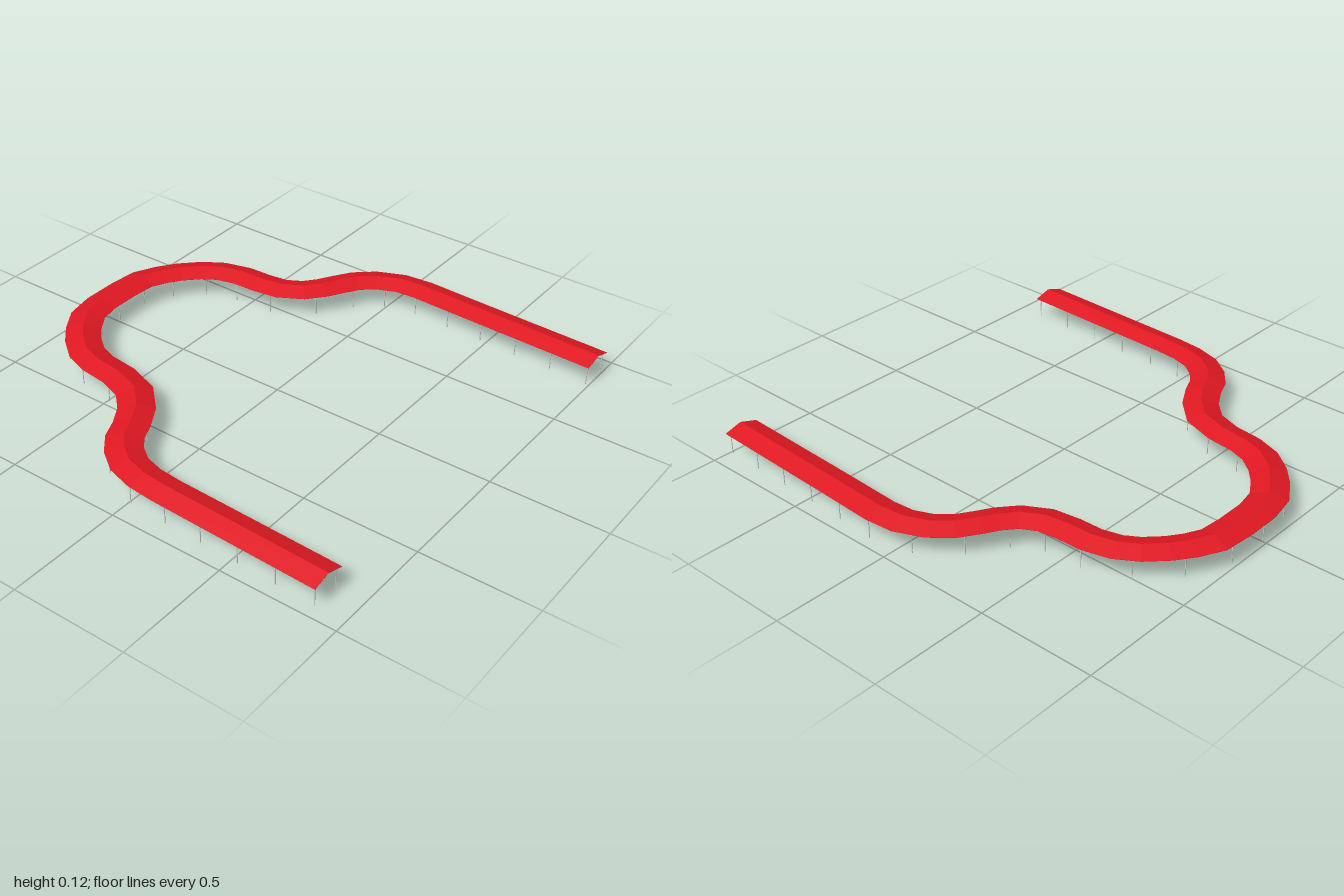
import * as THREE from 'three';

// Ridge line in plan, [x, z]
const PATH = [
  [1, -0.853], [0.41, -0.877], [0.13, -0.89], [0.02, -0.88], [-0.08, -0.837], [-0.15, -0.777], [-0.2, -0.7],
  [-0.235, -0.64], [-0.29, -0.575], [-0.375, -0.527], [-0.475, -0.513], [-0.58, -0.51], [-0.68, -0.484],
  [-0.755, -0.437], [-0.825, -0.367], [-0.873, -0.3], [-0.915, -0.217], [-0.925, -0.1], [-0.925, 0.04],
  [-0.904, 0.147], [-0.85, 0.232], [-0.79, 0.3], [-0.711, 0.361], [-0.62, 0.393], [-0.492, 0.409],
  [-0.37, 0.452], [-0.284, 0.537], [-0.23, 0.628], [-0.198, 0.703], [-0.145, 0.767], [-0.07, 0.82],
  [0.027, 0.848], [0.14, 0.858], [0.885, 0.885],
].map(([x, z]) => new THREE.Vector2(x, z));

const HALF = 0.075, EAVE = 0.092, RIDGE = 0.115;
const slopeY = (u) => RIDGE - (RIDGE - EAVE) * Math.abs(u) / HALF;
const sideOf = (t) => new THREE.Vector2(-t.y, t.x);

// Mitred sideways direction at every path point
const MITRES = PATH.map((p, i) => {
  const before = p.clone().sub(PATH[Math.max(i - 1, 0)]).normalize();
  const after = PATH[Math.min(i + 1, PATH.length - 1)].clone().sub(p).normalize();
  const n = sideOf(before.clone().add(after).normalize());
  const ref = sideOf(i ? before : after);
  return n.divideScalar(n.dot(ref));
});

// Sweeps a closed counter-clockwise section [u, y] along the path, with end caps
function sweep(section) {
  const out = [];
  const at = (i, k) => {
    const [u, y] = section[k % section.length];
    return [PATH[i].x + MITRES[i].x * u, y, PATH[i].y + MITRES[i].y * u];
  };
  const tri = (...corners) => corners.forEach((c) => out.push(...c));
  for (let i = 0; i < PATH.length - 1; i++) {
    for (let k = 0; k < section.length; k++) {
      tri(at(i, k), at(i + 1, k), at(i + 1, k + 1));
      tri(at(i, k), at(i + 1, k + 1), at(i, k + 1));
    }
  }
  const end = PATH.length - 1;
  for (const [a, b, c] of THREE.ShapeUtils.triangulateShape(section.map((s) => new THREE.Vector2(...s)), [])) {
    tri(at(0, a), at(0, b), at(0, c));
    tri(at(end, c), at(end, b), at(end, a));
  }
  const g = new THREE.BufferGeometry();
  g.setAttribute('position', new THREE.Float32BufferAttribute(out, 3));
  g.computeVertexNormals();
  return g;
}

// Pitched sheet between two depths below the roof surface
const pitched = (half, top, bottom) => [
  [-half, slopeY(half) - bottom], [0, RIDGE - bottom], [half, slopeY(half) - bottom],
  [half, slopeY(half) - top], [0, RIDGE - top], [-half, slopeY(half) - top],
];

// Evenly spaced stations along the path: point and sideways direction
function stations(count, margin) {
  const lengths = PATH.slice(1).map((p, i) => p.distanceTo(PATH[i]));
  const total = lengths.reduce((a, b) => a + b, 0);
  return Array.from({ length: count }, (_, n) => {
    let d = margin + (total - 2 * margin) * n / (count - 1), i = 0;
    while (i < lengths.length - 1 && d > lengths[i]) d -= lengths[i++];
    const f = d / lengths[i];
    const t = PATH[i + 1].clone().sub(PATH[i]).normalize();
    return { p: PATH[i].clone().lerp(PATH[i + 1], f), n: MITRES[i].clone().lerp(MITRES[i + 1], f), t };
  });
}

export function createModel() {
  const model = new THREE.Group();
  model.name = 'coveredWalkway';
  const red = new THREE.MeshStandardMaterial({ color: 0xe01822, flatShading: true });
  const grey = new THREE.MeshStandardMaterial({ color: 0xcccccc, flatShading: true });
  const add = (parent, name, geometry, material) => {
    const mesh = new THREE.Mesh(geometry, material);
    mesh.name = name;
    parent.add(mesh);
    return mesh;
  };
  const group = (name) => {
    const g = new THREE.Group();
    g.name = name;
    model.add(g);
    return g;
  };

  // Gabled roof and its lining
  add(model, 'roof', sweep(pitched(HALF, 0, 0.0015)), red);
  add(model, 'roofLining', sweep(pitched(HALF - 0.001, 0.0016, 0.0025)), grey);

  // Purlins running lengthwise under both slopes
  const purlins = group('purlins');
  for (const u of [-0.071, -0.048, -0.024, 0, 0.024, 0.048, 0.071]) {
    const y = slopeY(u) - 0.0025, w = 0.0012;
    add(purlins, 'purlin', sweep([[u - w, y - 0.002], [u + w, y - 0.002], [u + w, y], [u - w, y]]), grey);
  }

  // Rafters across each slope, with a pair of posts under every third one
  const rafters = group('rafters'), posts = group('posts');
  const postGeometry = new THREE.CylinderGeometry(0.002, 0.002, 1, 6);
  const rafterGeometry = new THREE.BoxGeometry(1, 0.002, 0.002);
  const up = new THREE.Vector3(0, 1, 0);
  stations(82, 0.012).forEach(({ p, n }, i) => {
    for (const side of [-1, 1]) {
      const place = (u, y) => new THREE.Vector3(p.x + n.x * u * side, y, p.y + n.y * u * side);
      const a = place(0, RIDGE - 0.004), b = place(HALF - 0.002, EAVE - 0.003);
      const along = b.clone().sub(a);
      const rafter = add(rafters, 'rafter', rafterGeometry, grey);
      rafter.position.copy(a).add(b).multiplyScalar(0.5);
      rafter.scale.x = along.length();
      const x = along.normalize(), z = x.clone().cross(up).normalize();
      rafter.quaternion.setFromRotationMatrix(new THREE.Matrix4().makeBasis(x, z.clone().cross(x), z));
      if (i % 3 === 0) {
        const height = slopeY(0.06) - 0.003;
        const post = add(posts, 'post', postGeometry, grey);
        post.position.copy(place(0.06, height / 2));
        post.scale.y = height;
      }
    }
  });
  return model;
}
